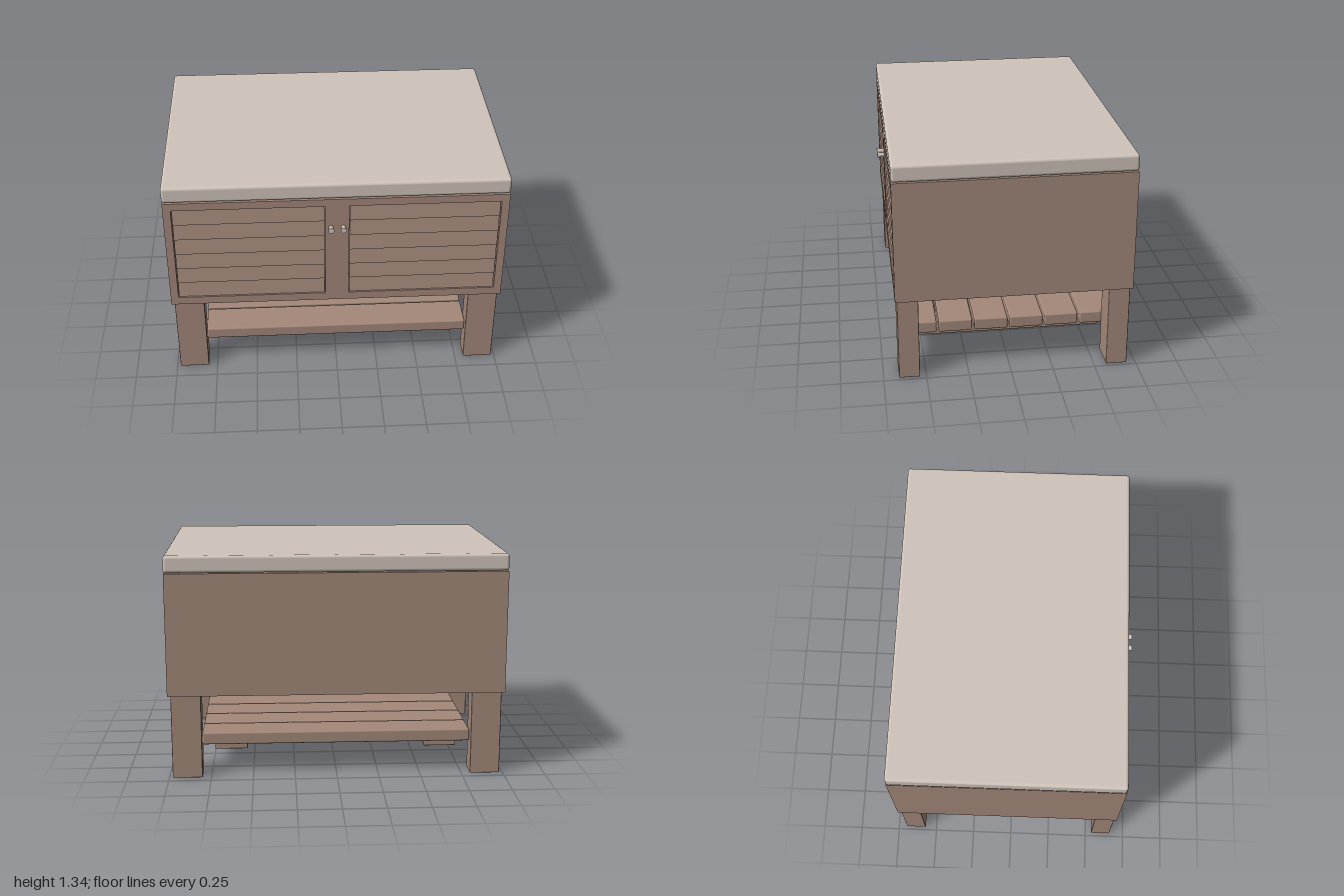
import * as THREE from 'three';
import { RoundedBoxGeometry } from 'three/addons/geometries/RoundedBoxGeometry.js';

export function createModel() {
  const model = new THREE.Group();
  model.name = 'louvredCabinet';
  const wood = new THREE.MeshStandardMaterial({ color: 0xa3887a });
  wood.name = 'wood';
  const pale = new THREE.MeshStandardMaterial({ color: 0xcfc4ba });
  pale.name = 'paleTop';

  const add = (name, geometry, material, x, y, z) => {
    const mesh = new THREE.Mesh(geometry, material);
    mesh.name = name;
    mesh.position.set(x, y, z);
    model.add(mesh);
    return mesh;
  };
  // Box given by its min and max on each axis, with optional rounded edges
  const block = (name, material, [x0, x1], [y0, y1], [z0, z1], r = 0) => {
    const size = [x1 - x0, y1 - y0, z1 - z0];
    const geometry = r ? new RoundedBoxGeometry(...size, 3, r) : new THREE.BoxGeometry(...size);
    return add(name, geometry, material, (x0 + x1) / 2, (y0 + y1) / 2, (z0 + z1) / 2);
  };

  // Cabinet body and worktop
  block('body', wood, [-0.998, 0.998], [0.505, 1.232], [-0.71, 0.632]);
  block('worktop', pale, [-1, 1], [1.235, 1.335], [-0.71, 0.67], 0.018);

  // Front frame with an opening for each door panel
  const rect = (target, x0, x1, y0, y1) => {
    target.moveTo(x0, y0);
    target.lineTo(x1, y0);
    target.lineTo(x1, y1);
    target.lineTo(x0, y1);
    target.closePath();
    return target;
  };
  const face = rect(new THREE.Shape(), -0.998, 0.998, 0.505, 1.232);
  face.holes.push(
    rect(new THREE.Path(), -0.952, -0.07, 0.556, 1.184),
    rect(new THREE.Path(), 0.07, 0.952, 0.556, 1.184)
  );
  add('frontFrame', new THREE.ExtrudeGeometry(face, { depth: 0.038, bevelEnabled: false }), wood, 0, 0, 0.632);

  // Knob flares towards its front end
  const knob = new THREE.CylinderGeometry(0.018, 0.012, 0.042, 24).rotateX(Math.PI / 2);

  for (const s of [-1, 1]) {
    // Louvres lean out at the bottom
    for (let i = 0; i < 6; i++) {
      const louvre = add('louvre', new THREE.BoxGeometry(0.874, 0.102, 0.012), wood,
        s * 0.511, 0.61 + i * 0.104, 0.652);
      louvre.rotation.x = -0.15;
    }
    add('knob', knob, pale, s * 0.036, 1.04, 0.69);

    // Legs and the rail beneath the shelf
    const span = (a, b) => (s > 0 ? [a, b] : [-b, -a]);
    block('frontLeg', wood, span(0.802, 0.98), [0, 0.506], [0.537, 0.66], 0.005);
    block('backLeg', wood, span(0.802, 0.98), [0, 0.506], [-0.697, -0.572], 0.005);
    block('shelfRail', wood, span(0.535, 0.73), [0.135, 0.186], [-0.57, 0.535], 0.006);
  }

  // Slatted shelf
  for (let i = 0; i < 6; i++) {
    const z = 0.521 - i * 0.2125;
    block('shelfSlat', wood, [-0.802, 0.802], [0.186, 0.26], [z - 0.1, z + 0.1], 0.01);
  }
  return model;
}
